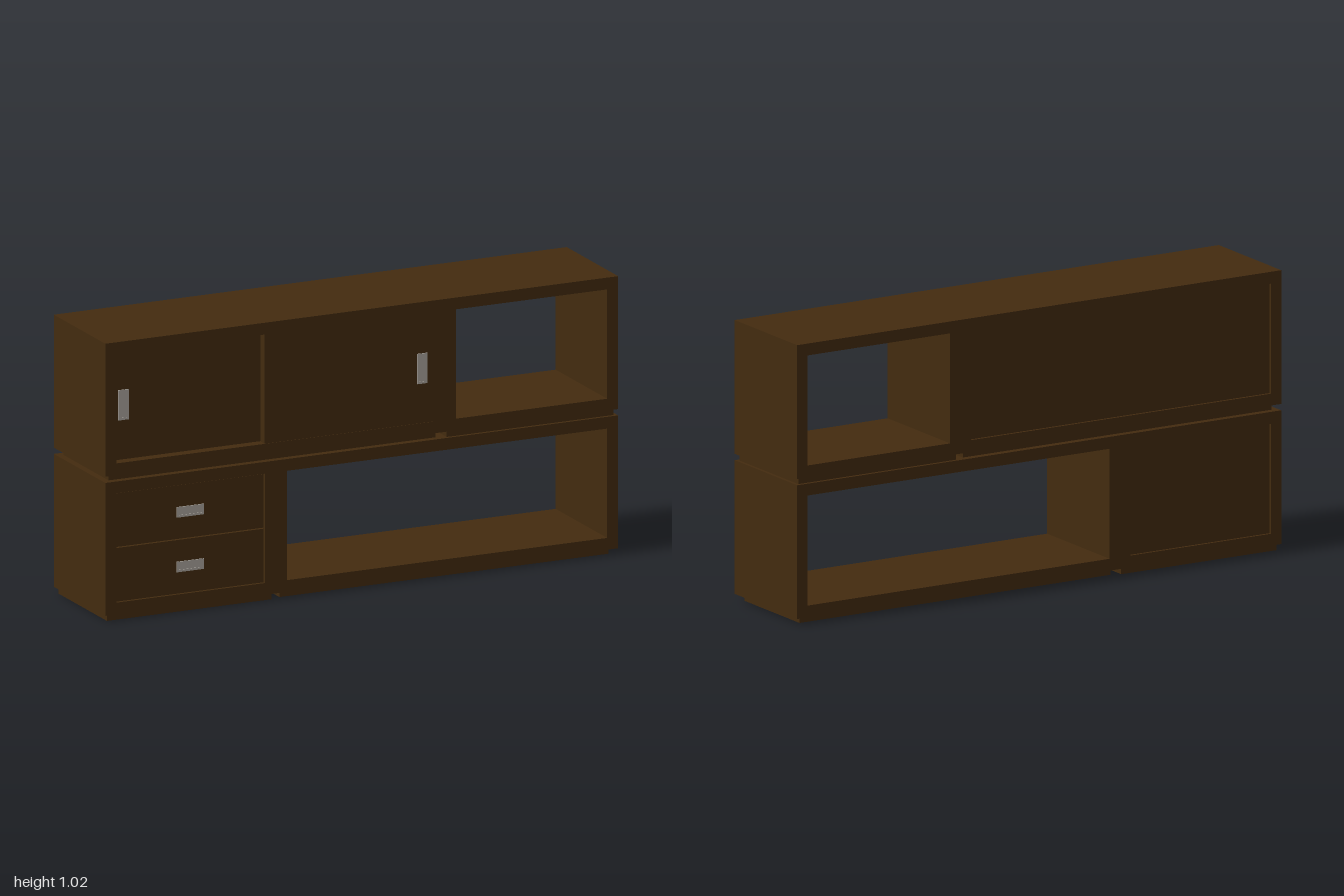
import * as THREE from 'three';

const wood = new THREE.MeshStandardMaterial({ color: 0x432b0f });
wood.name = 'darkWood';
const metal = new THREE.MeshStandardMaterial({ color: 0xaaa49c });
metal.name = 'brushedMetal';

const WALL = 0.043, DEPTH = 0.208, HEIGHT = 0.485, BASE = 0.023;

// Box given by its limits on each axis
function box(name, x0, x1, y0, y1, z0, z1, material = wood) {
  const mesh = new THREE.Mesh(new THREE.BoxGeometry(x1 - x0, y1 - y0, z1 - z0), material);
  mesh.position.set((x0 + x1) / 2, (y0 + y1) / 2, (z0 + z1) / 2);
  mesh.name = name;
  return mesh;
}

function rectPath(path, w, h) {
  path.moveTo(-w / 2, -h / 2);
  path.lineTo(w / 2, -h / 2);
  path.lineTo(w / 2, h / 2);
  path.lineTo(-w / 2, h / 2);
  path.closePath();
  return path;
}

// Open carcass standing on a recessed plinth
function cabinet(name, x0, x1, y, inset) {
  const group = new THREE.Group();
  group.name = name;
  const w = x1 - x0;
  const shape = rectPath(new THREE.Shape(), w, HEIGHT);
  shape.holes.push(rectPath(new THREE.Path(), w - 2 * WALL, HEIGHT - 2 * WALL));
  const shell = new THREE.Mesh(
    new THREE.ExtrudeGeometry(shape, { depth: 2 * DEPTH, bevelEnabled: false }), wood);
  shell.position.set((x0 + x1) / 2, y + BASE + HEIGHT / 2, -DEPTH);
  shell.name = 'carcass';
  const d = DEPTH - inset;
  group.add(shell, box('plinth', x0 + inset, x1 - inset, y, y + BASE, -d, d));
  return group;
}

// Flush pull: raised rim around a shallow plate
function handle(x, y, z, w, h) {
  const group = new THREE.Group();
  group.name = 'handle';
  const shape = rectPath(new THREE.Shape(), w, h);
  shape.holes.push(rectPath(new THREE.Path(), w - 0.016, h - 0.016));
  const rim = new THREE.Mesh(
    new THREE.ExtrudeGeometry(shape, { depth: 0.004, bevelEnabled: false }), metal);
  rim.name = 'handleRim';
  group.add(rim, box('handlePlate', -w / 2 + 0.008, w / 2 - 0.008, -h / 2 + 0.008, h / 2 - 0.008, 0, 0.0015, metal));
  group.position.set(x, y, z);
  return group;
}

export function createModel() {
  const model = new THREE.Group();
  model.name = 'sideboard';
  const upperY = BASE + HEIGHT;

  // Four stacked carcasses
  const drawerUnit = cabinet('drawerUnit', -1, -0.334, 0, 0.012);
  const lowerShelf = cabinet('lowerOpenUnit', -0.334, 1, 0, 0.025);
  const doorUnit = cabinet('slidingDoorUnit', -1, 0.325, upperY, 0.025);
  const upperShelf = cabinet('upperOpenUnit', 0.325, 1, upperY, 0.012);
  model.add(drawerUnit, lowerShelf, doorUnit, upperShelf);

  // Two drawers
  const dx0 = -1 + WALL, dx1 = -0.334 - WALL;
  const dy0 = BASE + WALL, dy1 = upperY - WALL;
  const half = (dy1 - dy0) / 2, front = DEPTH - 0.005;
  for (let i = 0; i < 2; i++) {
    const y0 = dy0 + i * half;
    drawerUnit.add(
      box('drawerFront', dx0 + 0.003, dx1 - 0.003, y0 + 0.002, y0 + half - 0.002, front - 0.03, front),
      handle((dx0 + dx1) / 2, y0 + half / 2, front, 0.106, 0.038));
  }
  drawerUnit.add(box('backPanel', dx0, dx1, dy0, dy1, -DEPTH + 0.01, -DEPTH + 0.025));

  // Sliding doors on two tracks
  const ux0 = -1 + WALL, ux1 = 0.325 - WALL;
  const uy0 = dy0 + upperY, uy1 = dy1 + upperY, mid = (uy0 + uy1) / 2;
  doorUnit.add(
    box('rearSlidingDoor', ux0, -0.36, uy0, uy1, 0.145, 0.17),
    box('frontSlidingDoor', -0.378, ux1, uy0, uy1, 0.175, DEPTH - 0.002),
    handle(-0.912, mid, 0.17, 0.04, 0.11),
    handle(0.236, mid, DEPTH - 0.002, 0.04, 0.11),
    box('backPanel', ux0, ux1, uy0, uy1, -DEPTH + 0.01, -DEPTH + 0.025));

  return model;
}
